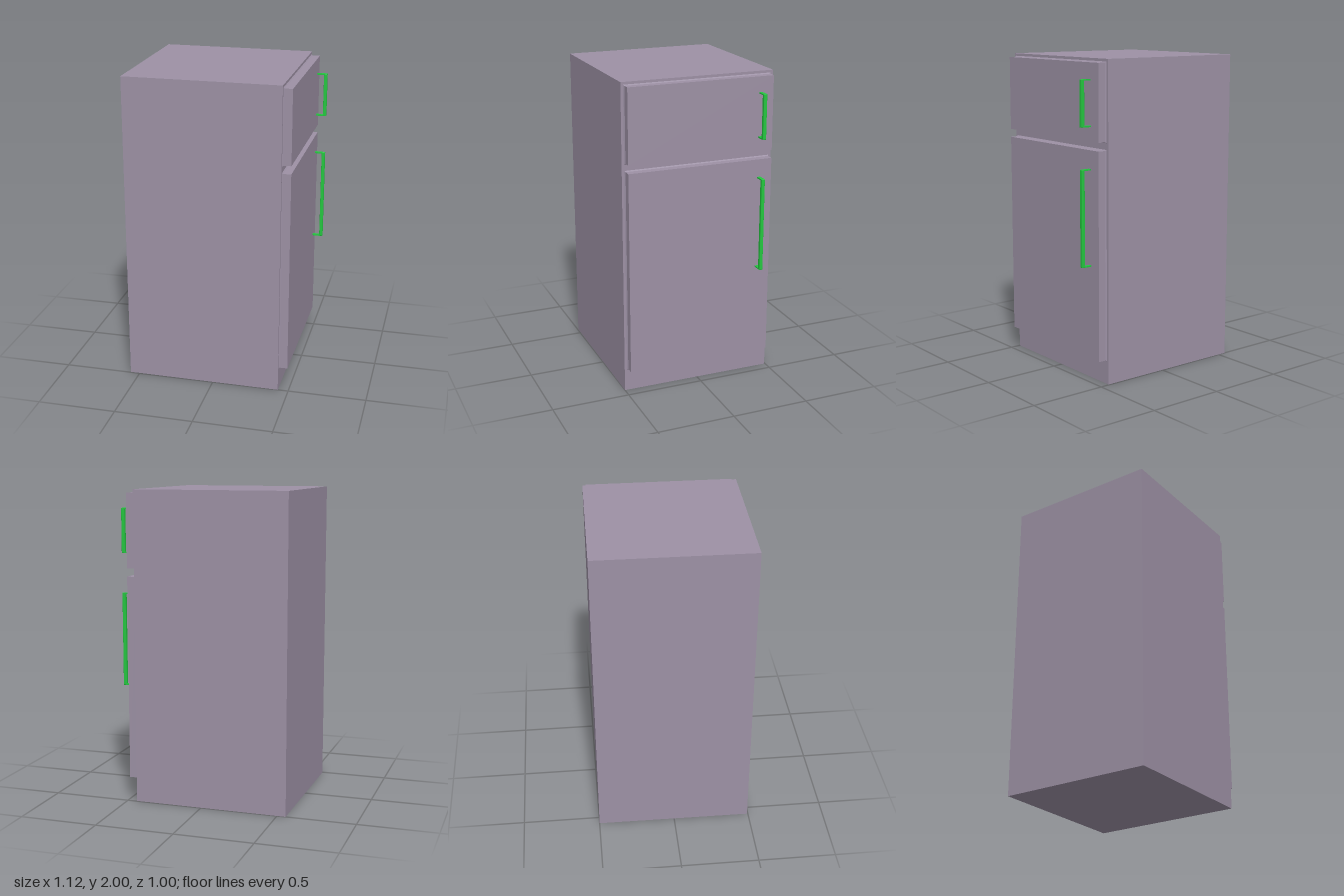
import * as THREE from 'three';
import { RoundedBoxGeometry } from 'three/addons/geometries/RoundedBoxGeometry.js';

const shell = new THREE.MeshStandardMaterial({ color: 0x9d91a5 });
const green = new THREE.MeshStandardMaterial({ color: 0x24c840 });

const BODY_X = 0.497;   // face of the cabinet behind the doors
const DOOR_X = 0.553;   // outer face of the doors
const HANDLE_Z = -0.389;

// Adds a mesh filling the given x, y and z ranges
function addPart(parent, name, material, [x0, x1], [y0, y1], [z0, z1], radius = 0) {
  const size = [x1 - x0, y1 - y0, z1 - z0];
  const geometry = radius
    ? new RoundedBoxGeometry(...size, 2, radius)
    : new THREE.BoxGeometry(...size);
  const mesh = new THREE.Mesh(geometry, material);
  mesh.name = name;
  mesh.position.set((x0 + x1) / 2, (y0 + y1) / 2, (z0 + z1) / 2);
  parent.add(mesh);
  return mesh;
}

// Door panel with a thin flared seal against the cabinet and a pull handle
function addDoor(parent, name, y0, y1, handleY0, handleY1) {
  const door = new THREE.Group();
  door.name = name;
  addPart(door, 'doorPanel', shell, [BODY_X, DOOR_X], [y0, y1], [-0.475, 0.475]);

  // Seal: a flat box whose outer face tapers in to the panel outline
  const flare = 0.006;
  const seal = addPart(door, 'doorSeal', shell, [BODY_X, BODY_X + 0.007],
    [y0 - flare, y1 + flare], [-0.475 - flare, 0.475 + flare]);
  const p = seal.geometry.attributes.position;
  for (let i = 0; i < p.count; i++) {
    if (p.getX(i) < 0) continue;
    p.setY(i, p.getY(i) - Math.sign(p.getY(i)) * flare);
    p.setZ(i, p.getZ(i) - Math.sign(p.getZ(i)) * flare);
  }
  seal.geometry = seal.geometry.toNonIndexed();
  seal.geometry.computeVertexNormals();

  // Handle: upright grip on two short posts
  const handle = new THREE.Group();
  handle.name = 'handle';
  const z = [HANDLE_Z - 0.011, HANDLE_Z + 0.011];
  addPart(handle, 'grip', green, [0.599, 0.621], [handleY0, handleY1], z, 0.003);
  for (const y of [handleY0, handleY1 - 0.008]) {
    addPart(handle, 'handlePost', green, [DOOR_X - 0.002, 0.605], [y, y + 0.008], z);
  }
  door.add(handle);
  parent.add(door);
}

export function createModel() {
  const model = new THREE.Group();
  const fridge = new THREE.Group();
  fridge.name = 'fridge';

  // Cabinet
  addPart(fridge, 'cabinet', shell, [-BODY_X, BODY_X], [0, 2], [-0.497, 0.497]);

  // Freezer above, main compartment below
  addDoor(fridge, 'freezerDoor', 1.507, 1.978, 1.595, 1.88);
  addDoor(fridge, 'mainDoor', 0.15, 1.455, 0.74, 1.342);

  // The whole cabinet stands very slightly turned
  fridge.rotation.y = -0.006;
  fridge.position.x = -0.062;
  model.add(fridge);
  return model;
}
